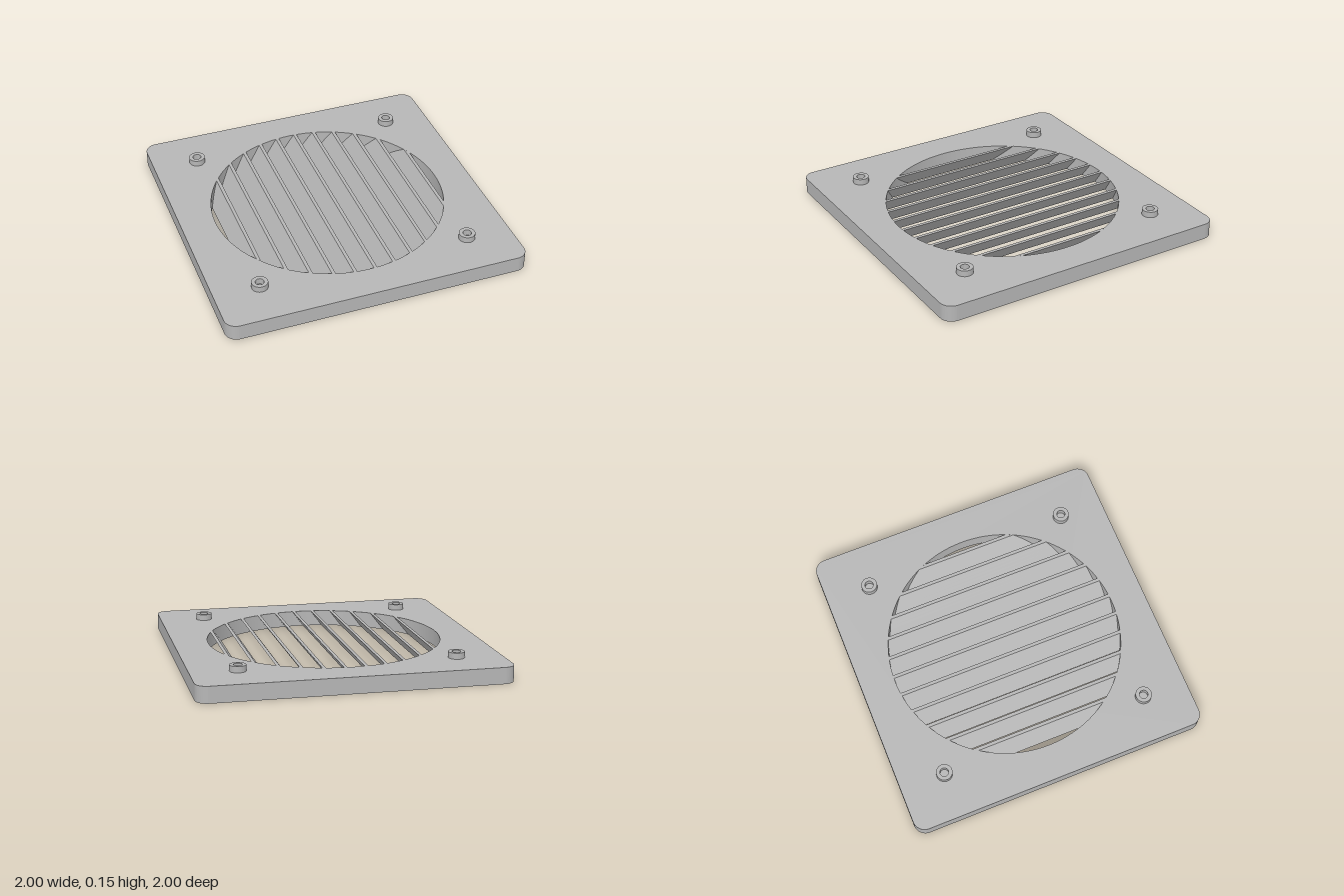
import * as THREE from 'three';
import { toCreasedNormals } from 'three/addons/utils/BufferGeometryUtils.js';

const H = 0.107;      // plate thickness
const R = 0.775;      // vent opening radius
const PITCH = 0.1333; // slat spacing

// Extrude a shape upwards from y = 0, with smooth curved walls
function extrudeUp(shape, height, curveSegments) {
  const geo = new THREE.ExtrudeGeometry(shape, { depth: height, bevelEnabled: false, curveSegments });
  geo.rotateX(-Math.PI / 2);
  return toCreasedNormals(geo, 0.6);
}

function circleHole(r) {
  return new THREE.Path().absarc(0, 0, r, 0, Math.PI * 2, true);
}

// Square plate with rounded corners and a round opening
function plateGeometry() {
  const c = 0.08, k = 1 - c;
  const s = new THREE.Shape();
  s.absarc(k, k, c, 0, Math.PI / 2);
  s.absarc(-k, k, c, Math.PI / 2, Math.PI);
  s.absarc(-k, -k, c, Math.PI, Math.PI * 1.5);
  s.absarc(k, -k, c, Math.PI * 1.5, Math.PI * 2);
  s.closePath();
  s.holes.push(circleHole(R));
  return extrudeUp(s, H, 96);
}

// Slanted slat with level top and bottom, its ends following the opening
function slatGeometry(cx) {
  const half = 0.05, flat = 0.022, run = 2 * half - flat, steps = 5;
  const pts = [];
  for (let i = 0; i <= steps; i++) pts.push(new THREE.Vector2(cx - half + flat + run * i / steps, H * i / steps));
  for (let i = steps; i >= 0; i--) pts.push(new THREE.Vector2(cx - half + run * i / steps, H * i / steps));
  const geo = new THREE.ExtrudeGeometry(new THREE.Shape(pts), { depth: 1, bevelEnabled: false });
  const p = geo.attributes.position;
  for (let i = 0; i < p.count; i++) {
    const end = Math.sqrt(R * R - p.getX(i) ** 2);
    p.setZ(i, p.getZ(i) > 0.5 ? end : -end);
  }
  return geo;
}

// Small ring-shaped boss
function bossGeometry() {
  const s = new THREE.Shape().absarc(0, 0, 0.053, 0, Math.PI * 2);
  s.holes.push(circleHole(0.028));
  return extrudeUp(s, 0.04, 32);
}

export function createModel() {
  const grey = new THREE.MeshStandardMaterial({ color: 0xb6b6b6 });
  grey.name = 'grey';
  const model = new THREE.Group();
  model.name = 'ventGrille';

  const add = (name, geo) => {
    const mesh = new THREE.Mesh(geo, grey);
    mesh.name = name;
    model.add(mesh);
    return mesh;
  };

  add('plate', plateGeometry());

  for (let i = -5; i <= 5; i++) add('slat', slatGeometry(i * PITCH));

  const boss = bossGeometry();
  for (const x of [-0.7, 0.7])
    for (const z of [-0.7, 0.7]) add('screwBoss', boss).position.set(x, H, z);

  return model;
}
